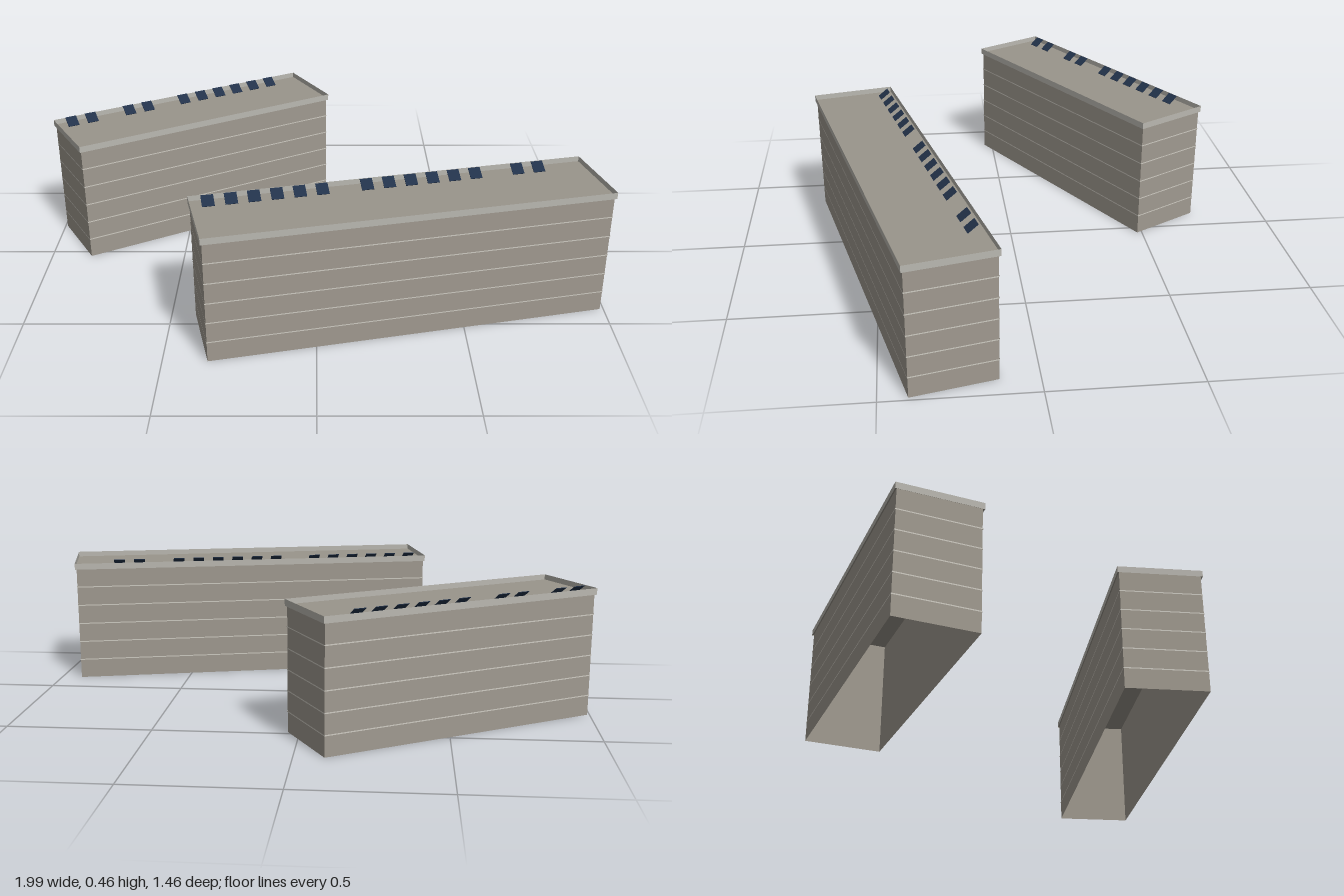
import * as THREE from 'three';

const flat = (color) => new THREE.MeshStandardMaterial({ color, side: THREE.DoubleSide });
const mats = { wall: flat(0xa09a90), roof: flat(0x9a958b), parapet: flat(0xbab8b1), band: flat(0xcfccc3), panel: flat(0x22324a) };
for (const k in mats) mats[k].name = { wall: 'facade', roof: 'roof grey', parapet: 'light trim', band: 'floor line', panel: 'panel blue' }[k];

function add(group, name, geometry, material, y) {
  const mesh = new THREE.Mesh(geometry, material);
  mesh.name = name;
  mesh.position.y = y;
  group.add(mesh);
  return mesh;
}

// Open rectangular tube with flat sides, standing on y = 0
function tube(w, h, d) {
  const g = new THREE.CylinderGeometry(Math.SQRT1_2, Math.SQRT1_2, h, 4, 1, true)
    .rotateY(Math.PI / 4).scale(w, 1, d).translate(0, h / 2, 0).toNonIndexed();
  g.computeVertexNormals();
  return g;
}

function building(name, { x, z, angle, w, d, firstPanel, slots }) {
  const g = new THREE.Group();
  g.name = name;
  const roofY = 0.436, lip = 0.012;
  add(g, 'walls', tube(w, roofY, d), mats.wall, 0);
  add(g, 'roof', new THREE.PlaneGeometry(w + lip, d + lip).rotateX(-Math.PI / 2), mats.roof, roofY);
  add(g, 'parapet', tube(w + lip, 0.023, d + lip), mats.parapet, 0.432);
  // Floor lines
  for (let i = 1; i <= 5; i++) add(g, 'floorLine', tube(w + 0.003, 0.004, d + 0.003), mats.band, i * 0.0725 - 0.002);
  // Tilted roof panels; a dot marks an empty slot
  [...slots].forEach((s, i) => {
    if (s === '.') return;
    const p = add(g, 'roofPanel', new THREE.BoxGeometry(0.042, 0.002, 0.043), mats.panel, 0.451);
    p.position.x = firstPanel + i * 0.077;
    p.position.z = -0.11;
    p.rotation.x = 0.63;
  });
  g.position.set(x, 0, z);
  g.rotation.y = THREE.MathUtils.degToRad(angle);
  return g;
}

export function createModel() {
  const model = new THREE.Group();
  model.name = 'apartmentBlocks';
  model.add(
    building('rearBlock', { x: -0.476, z: -0.346, angle: 30, w: 1.03, d: 0.28, firstPanel: -0.46, slots: '##.##.######' }),
    building('frontBlock', { x: 0.285, z: 0.423, angle: 13.1, w: 1.376, d: 0.286, firstPanel: -0.632, slots: '######.######.##' }),
  );
  return model;
}
